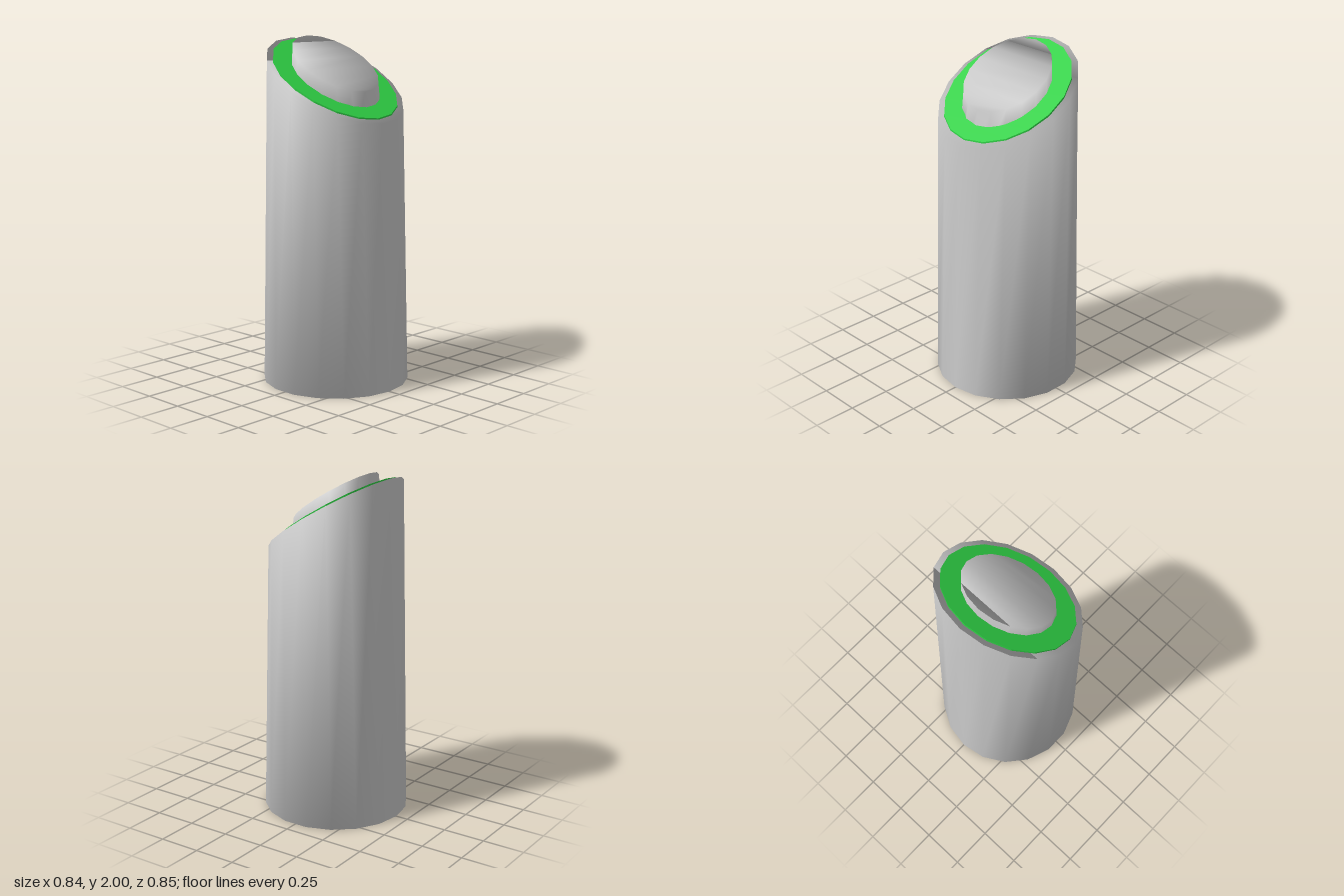
import * as THREE from 'three';

const SIDES = 18;

// Closed prism between two rings, each tilted about x: ring = [centre height, tilt in degrees]
function tiltedPrism(radius, bottom, top) {
  const positions = [];
  for (const [height, degrees] of [bottom, top]) {
    const tilt = THREE.MathUtils.degToRad(degrees);
    for (let i = 0; i < SIDES; i++) {
      const a = (i / SIDES) * Math.PI * 2;
      const reach = Math.cos(a) * radius;
      positions.push(Math.sin(a) * radius, height - reach * Math.sin(tilt), reach * Math.cos(tilt));
    }
  }
  const index = [];
  // Side wall
  for (let i = 0; i < SIDES; i++) {
    const j = (i + 1) % SIDES;
    index.push(i, j, SIDES + j, i, SIDES + j, SIDES + i);
  }
  // End caps, each filled with strips running from front to back
  const cap = (a, b, c) => index.push(SIDES + a, SIDES + b, SIDES + c, c, b, a);
  for (let i = 0; i < SIDES / 2; i++) {
    const right = i, rightNext = i + 1;
    const left = (SIDES - i) % SIDES, leftNext = SIDES - i - 1;
    if (right !== left) cap(left, right, rightNext);
    if (rightNext !== leftNext) cap(left, rightNext, leftNext);
  }
  const geometry = new THREE.BufferGeometry();
  geometry.setAttribute('position', new THREE.Float32BufferAttribute(positions, 3));
  geometry.setIndex(index);
  geometry.computeVertexNormals();
  return geometry;
}

export function createModel() {
  const group = new THREE.Group();
  const add = (name, geometry, color) => {
    const mesh = new THREE.Mesh(geometry, new THREE.MeshStandardMaterial({ color }));
    mesh.name = name;
    group.add(mesh);
  };

  // Tall body with a slanted top, soft shading throughout
  add('body', tiltedPrism(0.425, [0, 0], [1.757, 32.4]), 0xcccccc);

  // Thin flat-shaded band lying on the slanted top
  const band = tiltedPrism(0.388, [1.75, 32.4], [1.769, 33]).toNonIndexed();
  band.computeVertexNormals();
  add('topBand', band, 0x2fd045);

  // Raised button standing out of the band
  add('button', tiltedPrism(0.27, [1.45, 0], [1.85, 34]), 0xcccccc);

  return group;
}
